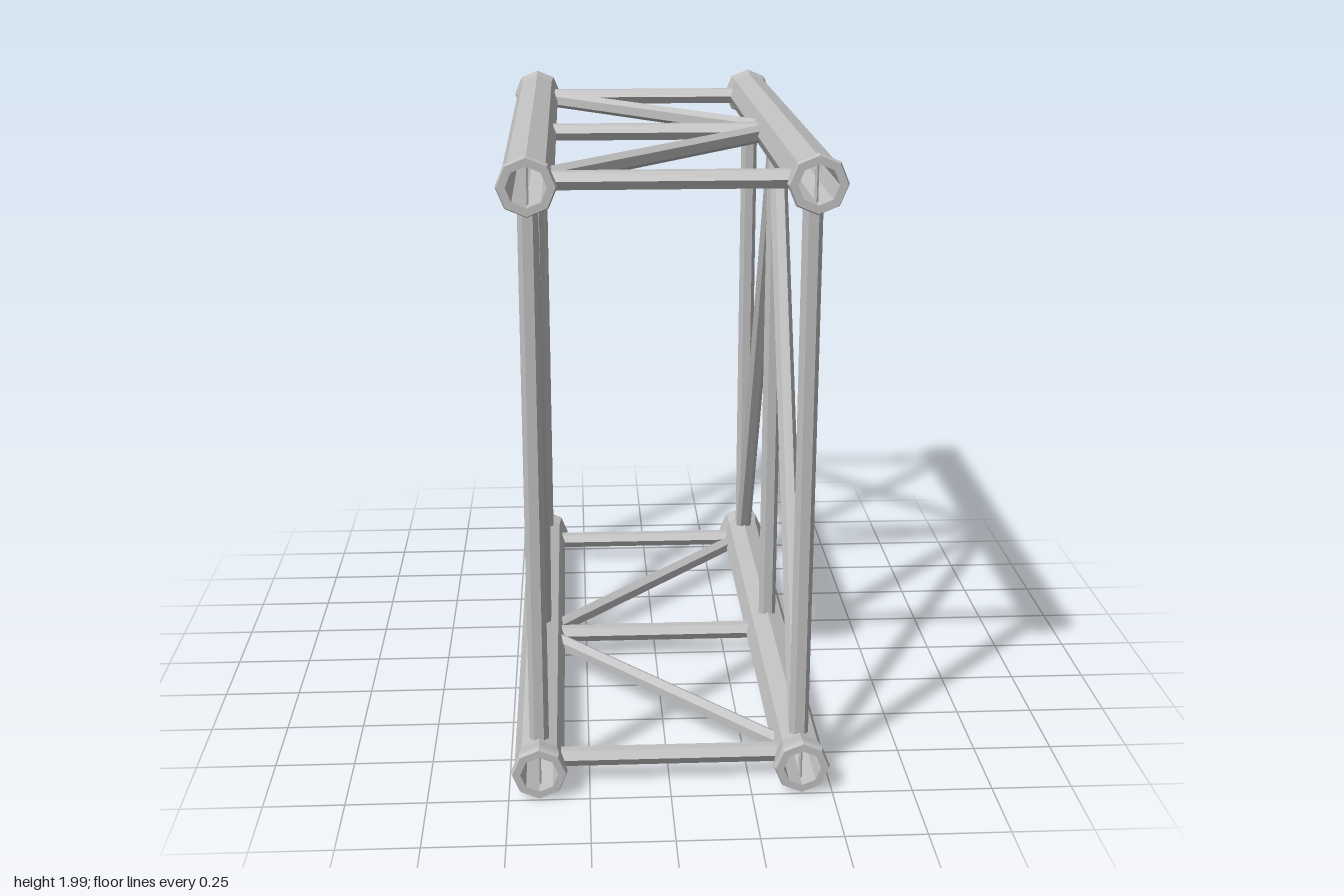
import * as THREE from 'three';

const X = 0.405, LOW = 0.088, HIGH = 1.902, END = 0.89;
const INSET = 0.066; // bars stop inside the chord wall, short of its bore

export function createModel() {
  const model = new THREE.Group();
  model.name = 'trussSegment';
  const metal = new THREE.MeshStandardMaterial({ color: 0xc0c0c0, flatShading: true });
  metal.name = 'silver metal';

  const add = (name, geometry) => {
    const mesh = new THREE.Mesh(geometry, metal);
    mesh.name = name;
    model.add(mesh);
    return mesh;
  };

  // Hexagonal bar between two chord axes; one ridge points along `ridge`,
  // and the ends are mitred square to `across`, the direction between the chords
  const bar = (name, from, to, r, ridge, across) => {
    const a = new THREE.Vector3(...from), b = new THREE.Vector3(...to);
    const normal = new THREE.Vector3(...across);
    const span = b.clone().sub(a);
    const length = span.length() * (1 - 2 * INSET / Math.abs(span.dot(normal)));
    const y = span.normalize(), z = new THREE.Vector3(...ridge);
    const x = new THREE.Vector3().crossVectors(y, z);
    x.addScaledVector(y, -x.dot(normal) / y.dot(normal));
    const g = new THREE.CylinderGeometry(r, r, length, 6);
    g.applyMatrix4(new THREE.Matrix4().makeBasis(x, y, z));
    add(name, g).position.copy(a.add(b).multiplyScalar(0.5));
  };

  // Hollow octagonal chords with flared, bevelled ends and a coupling pin at each end
  const profile = [
    [0.058, -1], [0.082, -1], [0.087, -0.985], [0.086, -0.97], [0.077, -0.925],
    [0.077, 0.925], [0.086, 0.97], [0.087, 0.985], [0.082, 1], [0.058, 1], [0.058, -1],
  ].map(([r, y]) => new THREE.Vector2(r, y));
  const chord = new THREE.LatheGeometry(profile, 8).rotateX(Math.PI / 2);
  const pin = new THREE.CylinderGeometry(0.006, 0.006, 0.12, 6);
  for (const x of [-X, X]) {
    for (const y of [LOW, HIGH]) {
      add('chord', chord).position.set(x, y, 0);
      for (const z of [-0.95, 0.95]) add('couplingPin', pin).position.set(x, y, z);
    }
  }

  const AX = [1, 0, 0], AY = [0, 1, 0], AZ = [0, 0, 1];

  // Upright posts and level cross bars
  for (const z of [-END, 0, END]) {
    for (const x of [-X, X]) bar('post', [x, LOW, z], [x, HIGH, z], 0.03, AX, AY);
    for (const y of [LOW, HIGH]) bar('crossBar', [-X, y, z], [X, y, z], 0.03, AZ, AX);
  }

  // Diagonal braces, mirrored front to back; opposite faces slope opposite ways
  for (const z of [-END, END]) {
    bar('leftBrace', [X, HIGH, 0], [X, LOW, z], 0.029, AX, AY);
    bar('rightBrace', [-X, LOW, 0], [-X, HIGH, z], 0.029, AX, AY);
    bar('topBrace', [X, HIGH, 0], [-X, HIGH, z], 0.029, AY, AX);
    bar('bottomBrace', [-X, LOW, 0], [X, LOW, z], 0.029, AY, AX);
  }
  return model;
}
